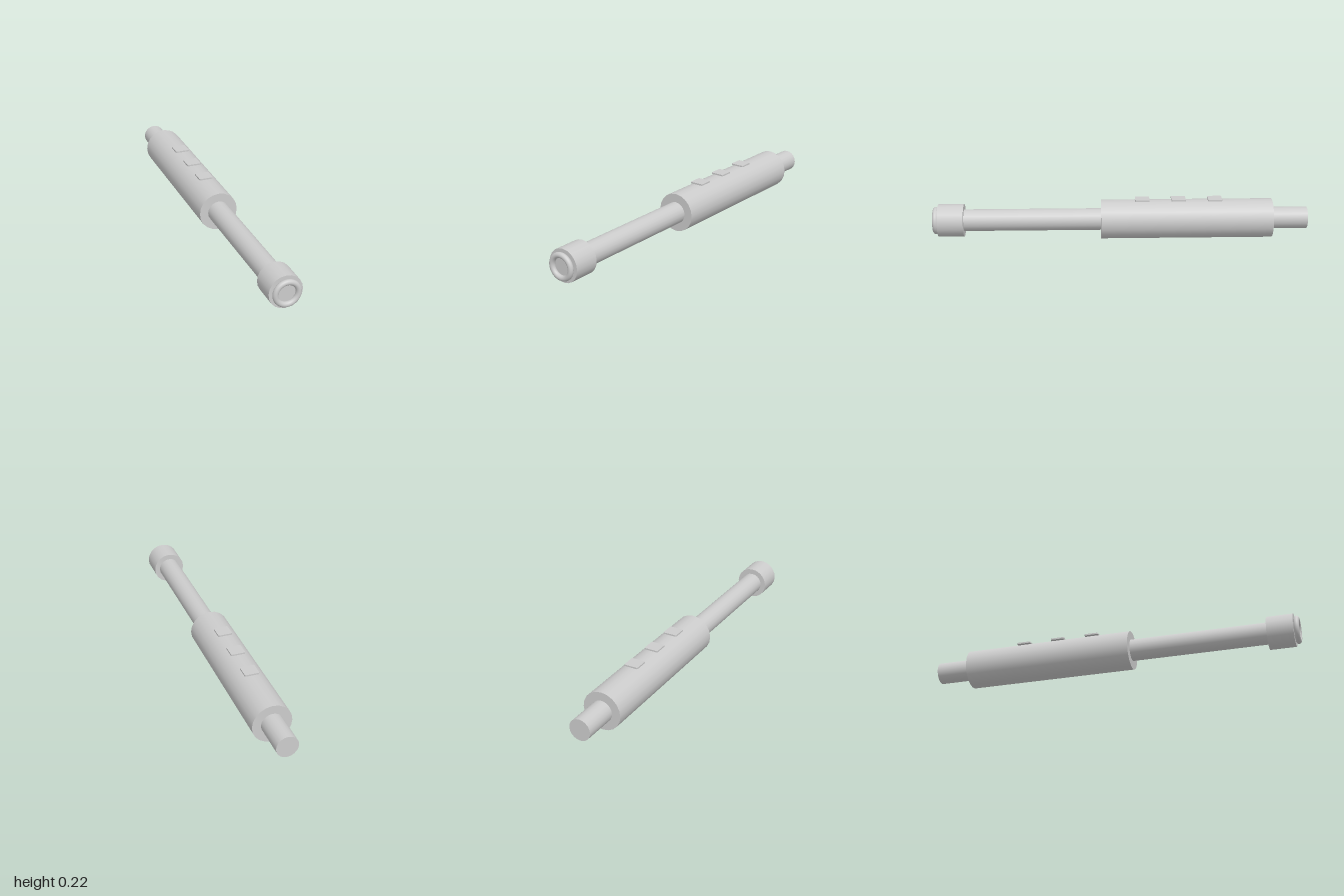
import * as THREE from 'three';

const AXIS_Y = 0.104;
const material = new THREE.MeshStandardMaterial({ color: 0xcccccc });

export function createModel() {
  const group = new THREE.Group();

  const add = (name, geometry, y, z) => {
    const mesh = new THREE.Mesh(geometry, material);
    mesh.name = name;
    mesh.position.set(0, y, z);
    group.add(mesh);
  };

  // Capped cylinder lying along z between two depths
  const rod = (name, radius, back, front) => {
    const geometry = new THREE.CylinderGeometry(radius, radius, front - back, 20);
    geometry.rotateX(Math.PI / 2);
    add(name, geometry, AXIS_Y, (front + back) / 2);
  };

  rod('shaft', 0.058, -1, 0.9);
  rod('gripSleeve', 0.104, -0.81, 0.105);
  rod('endCollar', 0.087, 0.835, 0.972);

  // Rounded ring on the front of the collar
  add('endRing', new THREE.TorusGeometry(0.0585, 0.0145, 16, 48), AXIS_Y, 0.9855);

  // Three square buttons with clipped corners along the top of the grip
  const h = 0.038, c = 0.034;
  const outline = new THREE.Shape(
    [[h, -c], [h, c], [c, h], [-c, h], [-h, c], [-h, -c], [-c, -h], [c, -h]]
      .map(([x, y]) => new THREE.Vector2(x, y)));
  const button = new THREE.ExtrudeGeometry(outline, { depth: 0.008, bevelEnabled: false });
  button.rotateX(-Math.PI / 2);
  for (const z of [-0.115, -0.308, -0.503]) add('button', button, 0.209, z);

  return group;
}
